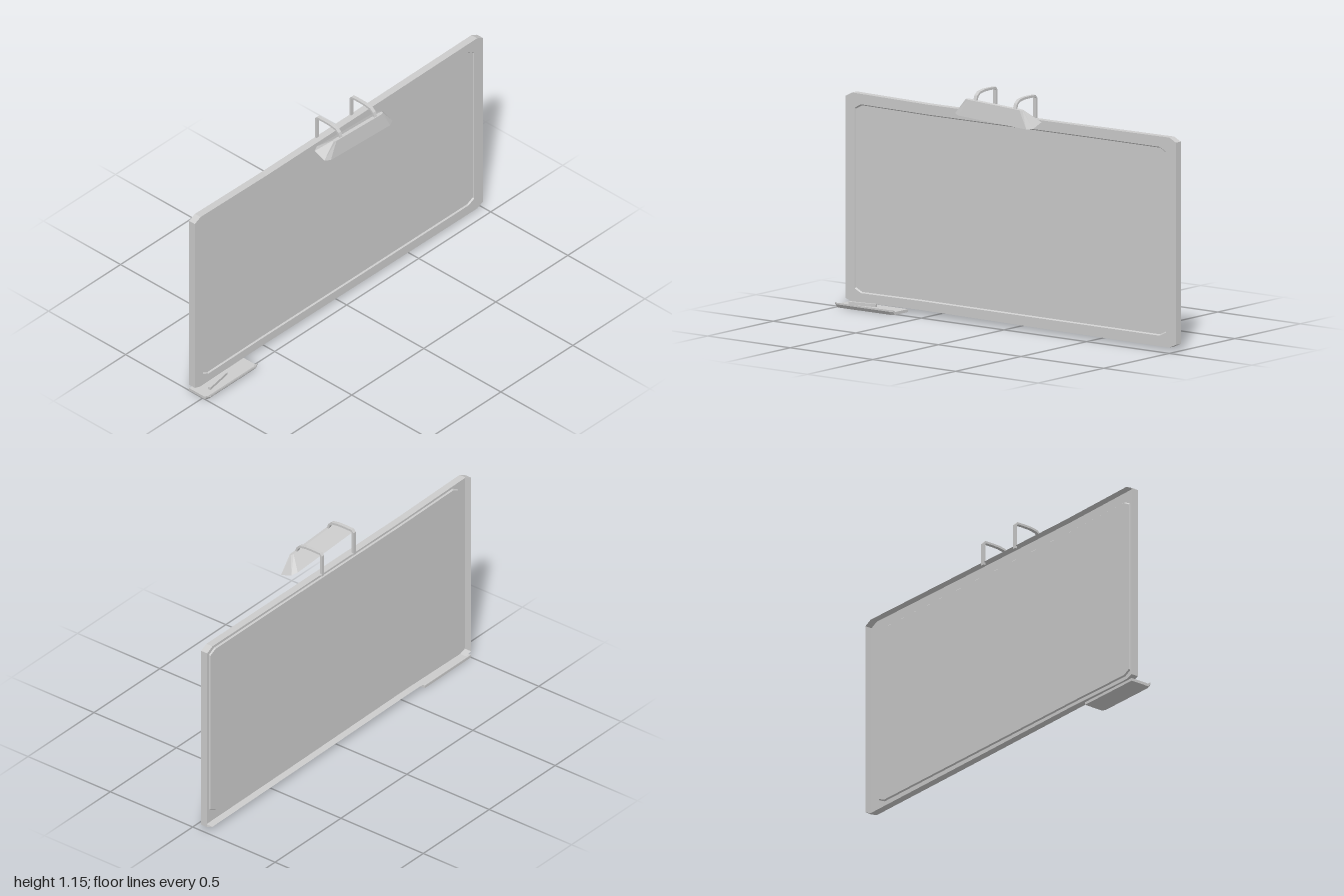
import * as THREE from 'three';

// Board and shade are open shells, so both sides of the sheets show
const material = new THREE.MeshStandardMaterial({ color: 0xcccccc, flatShading: true, side: THREE.DoubleSide });

function addMesh(parent, name, geometry) {
  const mesh = new THREE.Mesh(geometry, material);
  mesh.name = name;
  parent.add(mesh);
  return mesh;
}

function addGroup(parent, name) {
  const group = new THREE.Group();
  group.name = name;
  parent.add(group);
  return group;
}

// Join a row of equal rings into a faceted skin, with optional end caps
function loft(rings, capStart, capEnd) {
  const n = rings[0].length;
  const index = [];
  for (let r = 0; r < rings.length - 1; r++) {
    for (let i = 0; i < n; i++) {
      const a = r * n + i, b = r * n + (i + 1) % n;
      index.push(a, b, b + n, a, b + n, a + n);
    }
  }
  const last = (rings.length - 1) * n;
  for (let i = 1; i < n - 1; i++) {
    if (capStart) index.push(0, i + 1, i);
    if (capEnd) index.push(last, last + i, last + i + 1);
  }
  const geometry = new THREE.BufferGeometry();
  geometry.setAttribute('position', new THREE.Float32BufferAttribute(rings.flat(2), 3));
  geometry.setIndex(index);
  const flat = geometry.toNonIndexed();
  flat.computeVertexNormals();
  return flat;
}

// Eight-sided shade section between an inner and outer edge, leaning along z
function shadeRing(x0, y0, x1, y1, halfLength, cutX, cutZ) {
  const s = halfLength - cutZ;
  const outline = [
    [x0, -s], [x0, s], [x0 + cutX, halfLength], [x1 - cutX, halfLength],
    [x1, s], [x1, -s], [x1 - cutX, -halfLength], [x0 + cutX, -halfLength],
  ];
  return outline.map(([x, z]) => [x, y0 + (y1 - y0) * (x - x0) / (x1 - x0) + 0.05 * z, z]);
}

// Flat bar following a path of [x, y] points at a fixed z
function bentBar(path, z, halfThick, halfWide) {
  const rings = path.map(([x, y], i) => {
    const a = path[Math.max(i - 1, 0)], b = path[Math.min(i + 1, path.length - 1)];
    const angle = Math.atan2(b[1] - a[1], b[0] - a[0]);
    const nx = -Math.sin(angle) * halfThick, ny = Math.cos(angle) * halfThick;
    return [[1, 1], [-1, 1], [-1, -1], [1, -1]].map(([u, v]) => [x + u * nx, y + u * ny, z + v * halfWide]);
  });
  return loft(rings, true, true);
}

export function createModel() {
  const model = new THREE.Group();
  model.name = 'wallBoard';

  // Board: open-backed shell, slightly uneven rim, panel recessed in the front
  const outline = [
    [-1, 0.034], [-0.965, 0.022], [-0.55, 0.027], [0.28, 0.02], [0.96, 0.016], [1, 0.034],
    [1, 1.008], [0.96, 1.028], [0.3, 1.024], [-0.5, 1.021], [-0.96, 1.028], [-1, 1.008],
  ];
  const opening = [
    [-0.944, 0.086], [-0.906, 0.067], [-0.55, 0.07], [0.28, 0.068], [0.9, 0.067], [0.94, 0.086],
    [0.94, 0.957], [0.9, 0.977], [0.45, 0.977], [-0.5, 0.973], [-0.906, 0.977], [-0.944, 0.957],
  ];
  const panel = opening.map(([s, y]) => [s * 0.998, 0.522 + (y - 0.522) * 0.988]);
  const atDepth = (points, x) => points.map(([s, y]) => [x, y, -s]);
  addMesh(model, 'board', loft([
    atDepth(outline, -0.088), atDepth(outline, -0.051), atDepth(opening, -0.051), atDepth(panel, -0.058),
  ], false, true));

  // Tray: plate with an upturned lip and clipped outer corners
  const tray = addGroup(model, 'tray');
  const trayProfile = [
    [0.02, 0.014], [-0.088, 0.014], [-0.088, 0], [0.024, 0], [0.037, 0.017], [0.037, 0.025],
  ];
  const traySections = [[0.65, 0.01], [0.667, 0], [0.983, 0], [1, 0.01]];
  addMesh(tray, 'trayPlate', loft(
    traySections.map(([z, cut]) => trayProfile.map(([x, y]) => [x > 0 ? x - cut : x, y, z])), true, true));

  // Pen lying at an angle on the tray
  const pen = addMesh(tray, 'pen', new THREE.BoxGeometry(0.013, 0.014, 0.147));
  pen.position.set(-0.021, 0.022, 0.872);
  pen.rotation.y = 0.17;

  // Lamp shade: flared trough, open below, in front of the top edge
  const lamp = addGroup(model, 'lamp');
  addMesh(lamp, 'lampShade', loft([
    shadeRing(-0.002, 1.046, 0.09, 1.012, 0.236, 0.014, 0.03),
    shadeRing(0.063, 1.098, 0.079, 1.095, 0.172, 0.004, 0.016),
  ], false, true));

  // Two bent arms joining the board's top edge to the shade
  const armPath = [
    [-0.083, 1.01], [-0.083, 1.128], [-0.075, 1.137], [-0.03, 1.138], [0.01, 1.137],
    [0.044, 1.131], [0.061, 1.117], [0.07, 1.092],
  ];
  for (const z of [0.118, -0.122]) {
    const path = armPath.map(([x, y], i) => [x, i > 0 ? y + 0.05 * z : y]);
    addMesh(lamp, z > 0 ? 'frontArm' : 'backArm', bentBar(path, z, 0.0055, 0.009));
  }

  return model;
}
